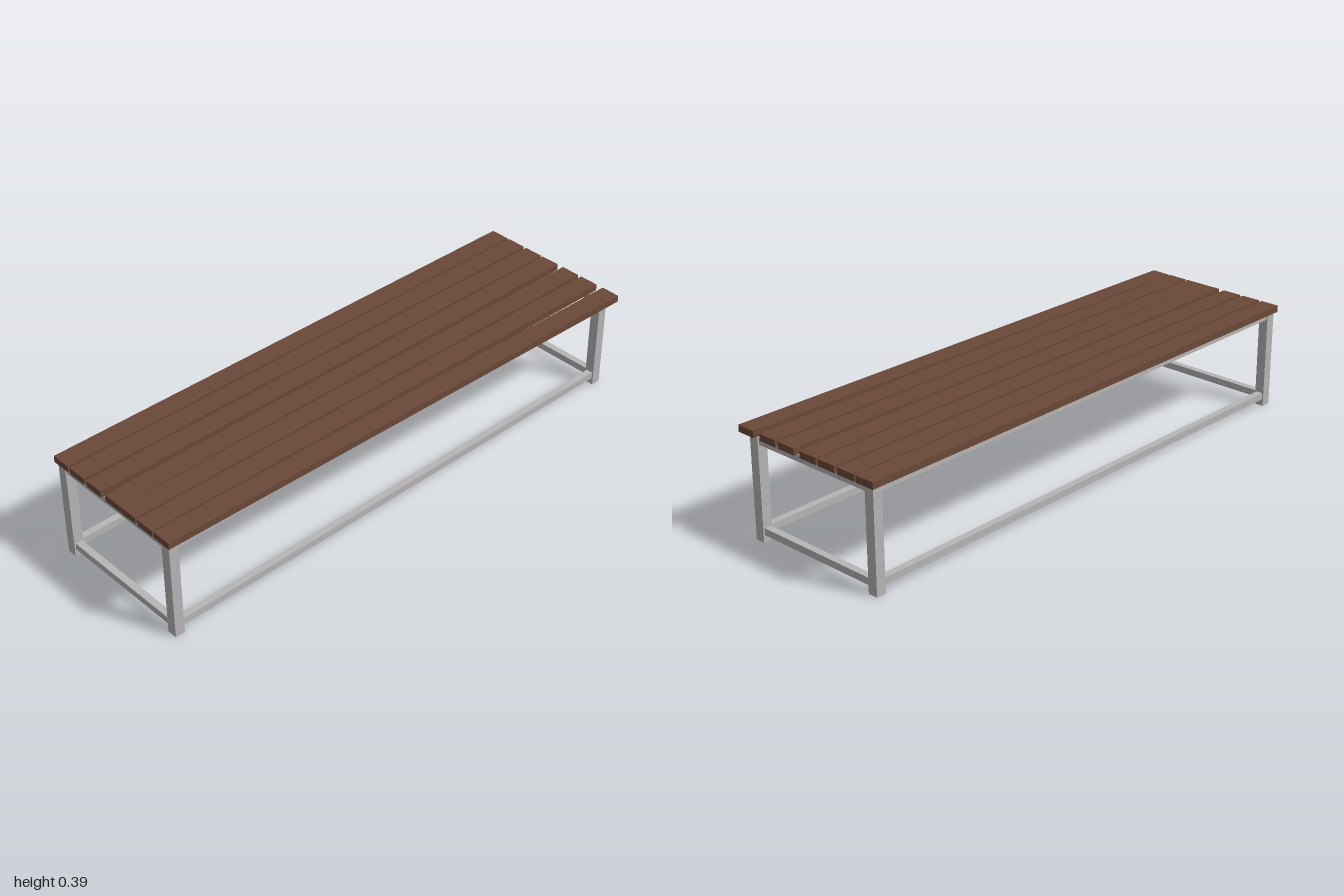
import * as THREE from 'three';

export function createModel() {
  const bench = new THREE.Group();
  bench.name = 'slattedBench';

  const wood = new THREE.MeshStandardMaterial({ color: 0x6b4938 });
  wood.name = 'brown wood';
  const steel = new THREE.MeshStandardMaterial({ color: 0xb8b5b5 });
  steel.name = 'grey steel';

  function box(name, size, position, material, parent) {
    const mesh = new THREE.Mesh(new THREE.BoxGeometry(...size), material);
    mesh.name = name;
    mesh.position.set(...position);
    parent.add(mesh);
    return mesh;
  }

  // Frame: four square legs joined by upper and lower rails
  const legSize = 0.036, railSize = 0.025, legHeight = 0.363;
  const legX = 0.974, legZ = 0.2595;
  const frame = new THREE.Group();
  frame.name = 'frame';
  frame.position.set(-0.002, 0, -0.0145);
  bench.add(frame);

  for (const sx of [-1, 1]) {
    for (const sz of [-1, 1]) {
      box('leg', [legSize, legHeight, legSize], [sx * legX, legHeight / 2, sz * legZ], steel, frame);
    }
  }
  for (const [level, y] of [['lower', 0.0375], ['upper', 0.3505]]) {
    for (const s of [-1, 1]) {
      box(level + 'LongRail', [2 * legX - legSize, railSize, railSize], [0, y, s * legZ], steel, frame);
      box(level + 'SideRail', [railSize, railSize, 2 * legZ - legSize], [s * legX, y, 0], steel, frame);
    }
  }

  // Seat slats, loosely laid: centre z at the right end (-x) and left end (+x)
  const slatEnds = [
    [-0.269, -0.265], [-0.185, -0.185], [-0.099, -0.099], [-0.003, -0.017],
    [0.072, 0.082], [0.155, 0.169], [0.234, 0.27],
  ];
  const seat = new THREE.Group();
  seat.name = 'seat';
  bench.add(seat);
  for (const [zRight, zLeft] of slatEnds) {
    const slat = box('slat', [1.998, 0.024, 0.073], [0, 0.375, (zRight + zLeft) / 2], wood, seat);
    slat.rotation.y = -Math.atan2(zLeft - zRight, 2);
  }

  return bench;
}
